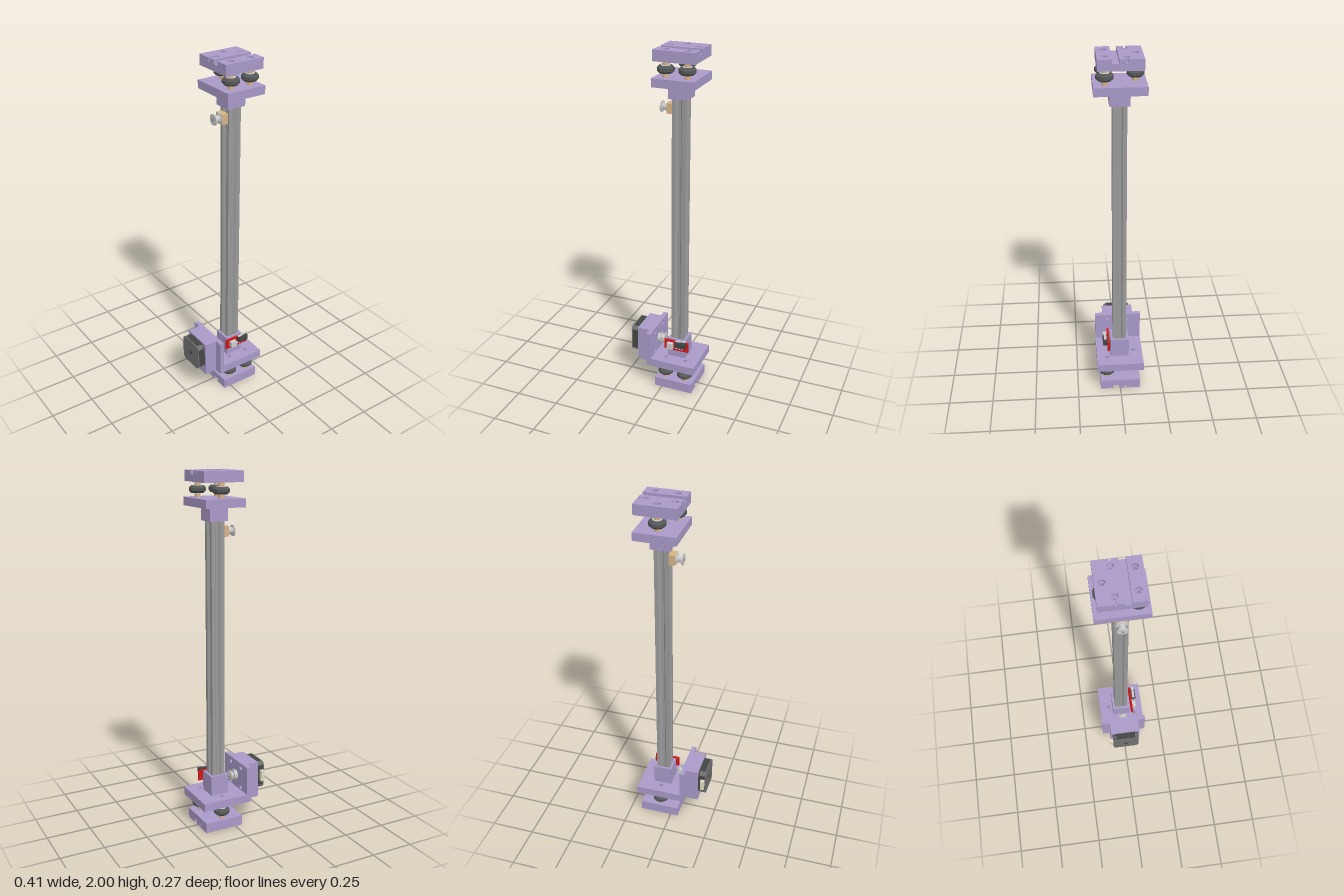
import * as THREE from 'three';
import { toCreasedNormals } from 'three/addons/utils/BufferGeometryUtils.js';

const mat = (color) => new THREE.MeshStandardMaterial({ color });
const PURPLE = mat(0xa999c8), STEEL = mat(0x9a9a9a), RUBBER = mat(0x555858), MOTOR = mat(0x707070);
const DARK = mat(0x444644), TAN = mat(0xd8b384), RED = mat(0xd01515), SILVER = mat(0xcccccc), CREAM = mat(0xe0dcc4);

const AXLES = [[0.07, -0.08], [0.013, 0.077], [0.13, 0.077]]; // x, z of the wheel axles
const RAIL_X = 0.068;
const MOTOR_Y = 0.267;

export function createModel() {
  const model = new THREE.Group();

  const add = (name, geometry, material, x = 0, y = 0, z = 0, parent = model) => {
    const mesh = new THREE.Mesh(geometry, material);
    mesh.name = name;
    mesh.position.set(x, y, z);
    parent.add(mesh);
    return mesh;
  };
  const box = (name, material, [x0, x1], [y0, y1], [z0, z1]) =>
    add(name, new THREE.BoxGeometry(x1 - x0, y1 - y0, z1 - z0), material, (x0 + x1) / 2, (y0 + y1) / 2, (z0 + z1) / 2);

  // Outline in (x, -z), extruded upwards
  const polygon = (pts) => new THREE.Shape(pts.map(([x, y]) => new THREE.Vector2(x, y)));
  const rect = (x0, x1, y0, y1) => polygon([[x0, y0], [x1, y0], [x1, y1], [x0, y1]]);
  const drill = (shape, x, y, r) => {
    shape.holes.push(new THREE.Path().absarc(x, y, r, 0, Math.PI * 2, true));
    return shape;
  };
  const extrude = (shape, depth) =>
    toCreasedNormals(new THREE.ExtrudeGeometry(shape, { depth, bevelEnabled: false, curveSegments: 16 }), 0.5);
  const upright = (shape, height) => extrude(shape, height).rotateX(-Math.PI / 2);
  const lathe = (pts, segments = 32) =>
    toCreasedNormals(new THREE.LatheGeometry(pts.map(([r, y]) => new THREE.Vector2(r, y)), segments), 0.5);
  const ring = (inner, outer, h) =>
    lathe([[inner, -h / 2], [outer, -h / 2], [outer, h / 2], [inner, h / 2], [inner, -h / 2]]);

  const plate = (name, x0, x1, z, y0, y1) => {
    const shape = rect(x0, x1, -z, z);
    AXLES.forEach(([x, az]) => drill(shape, x, -az, 0.011));
    add(name, upright(shape, y1 - y0), PURPLE, 0, y0);
  };

  // End plate: drilled core plus an outer layer with cross groove, counterbores and keyhole slots
  const endPlate = (name, coreY, faceY) => {
    const X0 = -0.044, X1 = 0.185, Z = 0.116, D = 0.022;
    plate(name + 'Core', X0, X1, Z, coreY, coreY + 0.036);
    const front = rect(X0, X1, -Z, -0.043);
    AXLES.slice(1).forEach(([x, z]) => drill(front, x, -z, 0.017));
    const rear = new THREE.Shape();
    const slotY = 0.031, w = 0.005, r = 0.016, a = Math.asin(w / r);
    rear.moveTo(X0, -0.008);
    rear.lineTo(X1, -0.008);
    rear.lineTo(X1, slotY - w);
    rear.absarc(0.146, slotY, r, -a, a - Math.PI * 2, true);
    rear.absarc;
    rear.lineTo(X1, slotY + w);
    rear.lineTo(X1, Z);
    rear.lineTo(X0, Z);
    rear.lineTo(X0, slotY + w);
    rear.absarc(-0.005, slotY, r, Math.PI - a, a - Math.PI, true);
    rear.lineTo(X0, slotY - w);
    drill(rear, 0.07, 0.08, 0.017);
    add(name + 'FrontFace', upright(front, D), PURPLE, 0, faceY);
    add(name + 'RearFace', upright(rear, D), PURPLE, 0, faceY);
    // Screw bosses inside the keyholes
    [-0.005, 0.146].forEach((x) =>
      add(name + 'KeyholeBoss', ring(0.003, 0.009, 0.018), PURPLE, x, faceY + 0.011, -slotY));
  };
  endPlate('bottomPlate', 0.022, 0);
  endPlate('topPlate', 1.942, 1.978);

  // Wheel sets between each pair of plates
  const wheel = lathe([[0.016, -0.019], [0.034, -0.019], [0.045, -0.008], [0.045, 0.008],
    [0.034, 0.019], [0.016, 0.019]]);
  const wheelSet = (y0, y1) => AXLES.forEach(([x, z]) => {
    const mid = (y0 + y1) / 2;
    add('wheel', wheel, RUBBER, x, mid, z);
    add('axleSpacer', ring(0.011, 0.016, y1 - y0), TAN, x, mid, z);
    add('wheelBearing', ring(0.014, 0.025, 0.042), SILVER, x, mid, z);
  });
  wheelSet(0.058, 0.143);
  wheelSet(1.86, 1.942);

  // Carriage plates and rail sockets
  plate('upperCarriagePlate', -0.044, 0.185, 0.135, 1.815, 1.86);
  plate('lowerCarriagePlate', -0.09, 0.205, 0.135, 0.143, 0.19);
  const socket = (y0, y1) => {
    const shape = rect(0.015, 0.122, -0.053, 0.053);
    shape.holes.push(new THREE.Path(rect(RAIL_X - 0.039, RAIL_X + 0.039, -0.039, 0.039).getPoints().reverse()));
    add('railSocket', upright(shape, y1 - y0), PURPLE, 0, y0);
  };
  socket(0.19, 0.305);
  socket(1.74, 1.815);

  // Slotted rail: one side of the profile turned four times
  const side = [[-1, 1], [-0.46, 1], [-0.28, 0.8], [-0.55, 0.8], [-0.55, 0.68], [-0.28, 0.4],
    [0.28, 0.4], [0.55, 0.68], [0.55, 0.8], [0.28, 0.8], [0.46, 1]];
  const profile = [];
  for (let i = 0; i < 4; i++) {
    const a = -i * Math.PI / 2, c = Math.cos(a) * 0.038, s = Math.sin(a) * 0.038;
    side.forEach(([x, y]) => profile.push([x * c - y * s, x * s + y * c]));
  }
  add('rail', upright(drill(polygon(profile), 0, 0, 0.008), 1.625), STEEL, RAIL_X, 0.19, 0);

  // Motor bracket: solid block and drilled panel
  const block = drill(rect(-0.09, 0.09, 0.143, 0.355), 0, MOTOR_Y, 0.022);
  add('motorBracketBlock', extrude(block, 0.072).rotateY(Math.PI / 2), PURPLE, -0.162);
  const panel = drill(rect(-0.135, 0.135, 0.143, 0.355), 0, MOTOR_Y, 0.022);
  for (const z of [-0.06, 0.06]) for (const dy of [-0.06, 0.06]) {
    drill(panel, z, MOTOR_Y + dy, 0.013);
    add('motorScrew', new THREE.CylinderGeometry(0.009, 0.009, 0.014, 16).rotateZ(Math.PI / 2), PURPLE, -0.083, MOTOR_Y + dy, z);
  }
  add('motorBracketPanel', extrude(panel, 0.026).rotateY(Math.PI / 2), PURPLE, -0.09);

  // Motor with chamfered corners
  const octagon = (h, c) => polygon([[-h, c - h], [c - h, -h], [h - c, -h], [h, c - h],
    [h, h - c], [h - c, h], [c - h, h], [-h, h - c]]);
  add('motorBody', extrude(octagon(0.08, 0.022), 0.038).rotateY(Math.PI / 2), DARK, -0.2, MOTOR_Y);
  add('motorEndCap', extrude(octagon(0.079, 0.015), 0.038).rotateY(Math.PI / 2), MOTOR, -0.207, MOTOR_Y);
  add('motorRearBoss', new THREE.CylinderGeometry(0.012, 0.012, 0.004, 20).rotateZ(Math.PI / 2), DARK, -0.207, MOTOR_Y);
  box('motorConnector', CREAM, [-0.2, -0.178], [0.235, 0.3], [-0.1, -0.075]);

  // Toothed pulley on the motor and flanged idler near the top
  const pulleyProfile = (hub) => lathe([[0, 0], [0.03, 0], [0.03, hub], [0.018, hub], [0.018, 0.034],
    [0.03, 0.036], [0.03, 0.041], [0, 0.041]]).rotateZ(-Math.PI / 2);
  add('motorPulley', pulleyProfile(0.02), SILVER, -0.063, MOTOR_Y);
  add('motorShaft', new THREE.CylinderGeometry(0.01, 0.01, 0.16, 20).rotateZ(Math.PI / 2), STEEL, -0.09, MOTOR_Y);
  add('setScrew', ring(0.005, 0.01, 0.004), STEEL, -0.053, MOTOR_Y + 0.03);
  add('idlerPulley', pulleyProfile(0.006), SILVER, -0.042, 1.683);
  add('idlerShaft', new THREE.CylinderGeometry(0.008, 0.008, 0.07, 20).rotateZ(Math.PI / 2), STEEL, -0.01, 1.683);
  box('idlerBlock', TAN, [-0.003, 0.033], [1.655, 1.71], [-0.03, 0.03]);

  // Limit switch board on the front of the lower socket
  const board = rect(0, 0.147, 0.245, 0.305);
  [[0.012, 0.257], [0.012, 0.293], [0.135, 0.257], [0.135, 0.293]].forEach(([x, y]) => drill(board, x, y, 0.006));
  add('switchBoard', extrude(board, 0.012), RED, 0, 0, 0.06);
  box('switchBody', DARK, [0.075, 0.135], [0.28, 0.312], [0.072, 0.098]);
  box('boardConnector', SILVER, [0.022, 0.058], [0.258, 0.295], [0.072, 0.095]);
  const lever = box('switchLever', SILVER, [0.072, 0.14], [0.319, 0.322], [0.078, 0.092]);
  lever.rotation.z = 0.15;
  for (let i = 0; i < 3; i++) {
    box('boardChip', SILVER, [0.07 + i * 0.018, 0.08 + i * 0.018], [0.258, 0.268], [0.072, 0.078]);
  }

  return model;
}
